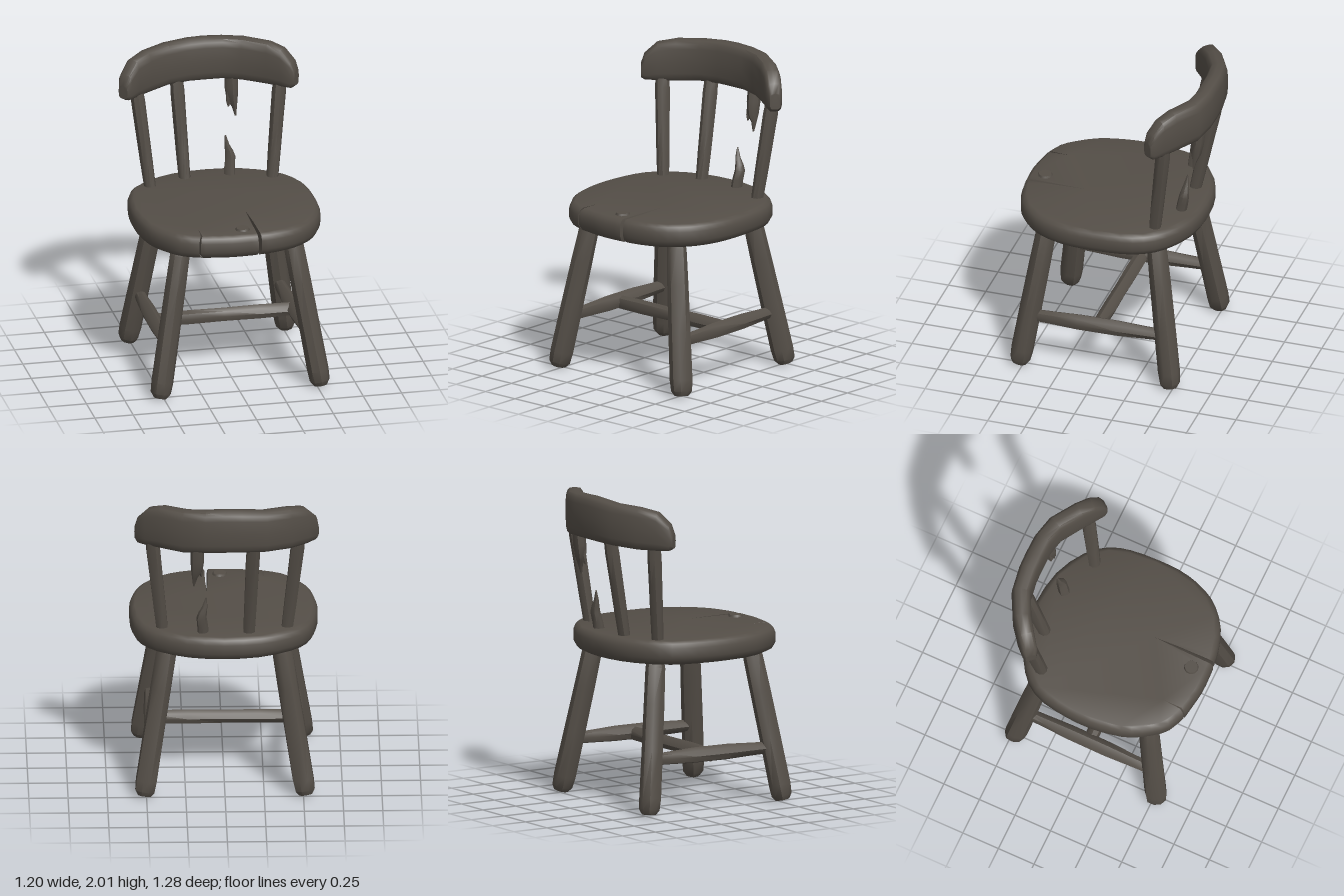
import * as THREE from 'three';
import { toCreasedNormals } from 'three/addons/utils/BufferGeometryUtils.js';

// Skin a row of equal-sized rings and close both ends
function loft(rings) {
  const n = rings[0].length, pos = [], idx = [];
  rings.forEach(ring => ring.forEach(p => pos.push(p.x, p.y, p.z)));
  for (let i = 0; i < rings.length - 1; i++)
    for (let j = 0; j < n; j++) {
      const a = i * n + j, b = i * n + (j + 1) % n;
      idx.push(a, b, b + n, a, b + n, a + n);
    }
  const last = (rings.length - 1) * n;
  for (let j = 1; j < n - 1; j++) {
    idx.push(0, j + 1, j);
    idx.push(last, last + j, last + j + 1);
  }
  const g = new THREE.BufferGeometry();
  g.setAttribute('position', new THREE.Float32BufferAttribute(pos, 3));
  g.setIndex(idx);
  return toCreasedNormals(g, 0.75);
}

// Round, slightly hand-carved limb through stations [x, y, z, radius]
function limb(stations, sides = 9) {
  const pts = stations.map(s => new THREE.Vector3(s[0], s[1], s[2]));
  const d = pts[pts.length - 1].clone().sub(pts[0]).normalize();
  const ref = Math.abs(d.y) > 0.7 ? new THREE.Vector3(0, 0, 1) : new THREE.Vector3(0, 1, 0);
  const u = ref.sub(d.clone().multiplyScalar(ref.dot(d))).normalize();
  const v = d.clone().cross(u);
  return loft(pts.map((c, i) => Array.from({ length: sides }, (_, j) => {
    const a = j / sides * Math.PI * 2, r = stations[i][3] * (1 + 0.05 * Math.sin(j * 2.3 + i * 0.6));
    return c.clone().addScaledVector(u, Math.cos(a) * r).addScaledVector(v, Math.sin(a) * r);
  })));
}

// Stations between two points from [fraction, radius] pairs
function between(a, b, profile) {
  return profile.map(([t, r]) => [0, 1, 2].map(k => a[k] + (b[k] - a[k]) * t).concat(r));
}

// Thick rounded seat with splits in its front edge
function seatGeometry() {
  const P = list => list.map(([x, z]) => new THREE.Vector2(x, -z));
  const s = new THREE.Shape();
  s.moveTo(0.118, -0.625);
  s.splineThru(P([[0.22, 0.61], [0.36, 0.56], [0.48, 0.46], [0.55, 0.34], [0.59, 0.2], [0.6, 0.05],
    [0.59, -0.15], [0.55, -0.3], [0.45, -0.43], [0.25, -0.54], [0, -0.575], [-0.25, -0.54],
    [-0.45, -0.43], [-0.55, -0.3], [-0.59, -0.12], [-0.6, 0.05], [-0.585, 0.2], [-0.55, 0.34],
    [-0.48, 0.46], [-0.4, 0.55], [-0.285, 0.6]]));
  s.lineTo(-0.275, -0.47);
  s.lineTo(-0.275, -0.605);
  s.splineThru(P([[-0.18, 0.62], [-0.06, 0.635], [0.095, 0.63]]));
  s.lineTo(0.1, -0.42);
  s.lineTo(0.107, -0.23);
  s.lineTo(0.116, -0.42);
  const levels = [[0.95, 0.92], [0.965, 0.97], [1.0, 1], [1.06, 1], [1.09, 0.98], [1.105, 0.945]];
  const g = new THREE.ExtrudeGeometry(s, { depth: 1, steps: 5, bevelEnabled: false, curveSegments: 2 });
  const p = g.attributes.position;
  for (let i = 0; i < p.count; i++) {
    const [y, k] = levels[Math.round(p.getZ(i) * 5)];
    p.setXYZ(i, p.getX(i) * k, (p.getY(i) + 0.03) * k - 0.03, y);
  }
  g.rotateX(-Math.PI / 2);
  return toCreasedNormals(g, 0.75);
}

// Bowed top rail: stations [x, z, half thickness, bottom, top]
function railGeometry() {
  const st = [[-0.578, -0.335, 0.035, 1.72, 1.81], [-0.56, -0.35, 0.05, 1.705, 1.875],
    [-0.5, -0.405, 0.057, 1.7, 1.95], [-0.4, -0.48, 0.06, 1.7, 1.975], [-0.25, -0.557, 0.062, 1.71, 1.985],
    [-0.1, -0.578, 0.062, 1.715, 1.997], [0, -0.58, 0.062, 1.715, 2], [0.12, -0.578, 0.062, 1.715, 1.995],
    [0.25, -0.55, 0.062, 1.705, 1.988], [0.4, -0.455, 0.06, 1.7, 1.98], [0.48, -0.4, 0.057, 1.695, 1.95],
    [0.535, -0.358, 0.05, 1.695, 1.88], [0.555, -0.343, 0.035, 1.715, 1.82]];
  const soft = c => Math.sign(c) * Math.pow(Math.abs(c), 0.55);
  return loft(st.map(([x, z, h, y0, y1], i) => {
    const a = st[Math.max(i - 1, 0)], b = st[Math.min(i + 1, st.length - 1)];
    const t = new THREE.Vector2(b[0] - a[0], b[1] - a[1]).normalize();
    return Array.from({ length: 16 }, (_, j) => {
      const q = j / 16 * Math.PI * 2, f = soft(Math.sin(q)) * h;
      return new THREE.Vector3(x - t.y * f, (y0 + y1) / 2 + soft(Math.cos(q)) * (y1 - y0) / 2, z + t.x * f);
    });
  }));
}

export function createModel() {
  const group = new THREE.Group();
  const wood = new THREE.MeshStandardMaterial({ color: 0x544e47 });
  wood.name = 'dark weathered wood';
  const add = (name, geometry) => {
    const m = new THREE.Mesh(geometry, wood);
    m.name = name;
    group.add(m);
    return m;
  };

  add('seat', seatGeometry());
  add('topRail', railGeometry());

  // Raised knot near the front edge
  const knot = add('seatKnot', new THREE.CylinderGeometry(0.042, 0.05, 0.02, 10));
  knot.position.set(0.015, 1.108, 0.515);

  // Splayed legs and the side stretchers joining them
  const legProfile = [[0, 0.045], [0.03, 0.066], [0.1, 0.071], [0.4, 0.069], [0.7, 0.067], [0.93, 0.064], [1, 0.05]];
  for (const [side, label] of [[1, 'left'], [-1, 'right']]) {
    add(label + 'FrontLeg', limb(between([side * 0.523, 0, 0.522], [side * 0.36, 0.985, 0.385], legProfile)));
    add(label + 'BackLeg', limb(between([side * 0.515, 0, -0.485], [side * 0.36, 0.985, -0.335], legProfile)));
    add(label + 'SideStretcher', limb(between([side * 0.46, 0.335, 0.45], [side * 0.455, 0.34, -0.42],
      [[0, 0.038], [0.15, 0.042], [0.35, 0.05], [0.65, 0.05], [0.85, 0.042], [1, 0.038]]), 8));
  }
  add('middleStretcher', limb(between([-0.46, 0.33, 0.02], [0.46, 0.33, 0.02],
    [[0, 0.044], [0.25, 0.047], [0.5, 0.044], [0.75, 0.047], [1, 0.044]]), 8));

  // Whole back spindles
  const spindleProfile = [[0, 0.038], [0.3, 0.042], [0.6, 0.044], [0.85, 0.046], [1, 0.04]];
  add('rightOuterSpindle', limb(between([-0.395, 1.06, -0.34], [-0.475, 1.76, -0.425], spindleProfile)));
  add('rightInnerSpindle', limb(between([-0.152, 1.06, -0.43], [-0.182, 1.76, -0.57], spindleProfile)));
  add('leftOuterSpindle', limb(between([0.395, 1.06, -0.34], [0.465, 1.76, -0.425], spindleProfile)));

  // Snapped spindle: splintered stubs below and above
  add('brokenSpindleLower', limb([[0.14, 1.06, -0.43], [0.143, 1.15, -0.447], [0.15, 1.21, -0.46],
    [0.142, 1.25, -0.465, 0.026], [0.128, 1.29, -0.468, 0.017], [0.12, 1.355, -0.475, 0.004]]
    .map((s, i) => i < 3 ? [...s, [0.036, 0.035, 0.033][i]] : s), 8));
  add('brokenSpindleUpper', limb([[0.2, 1.46, -0.535, 0.005], [0.195, 1.52, -0.545, 0.017], [0.182, 1.57, -0.55, 0.036],
    [0.178, 1.65, -0.56, 0.044], [0.178, 1.76, -0.572, 0.042]], 8));
  add('spindleSplinter', limb([[0.152, 1.525, -0.535, 0.004], [0.156, 1.56, -0.542, 0.018], [0.165, 1.62, -0.552, 0.025]], 6));

  return group;
}
